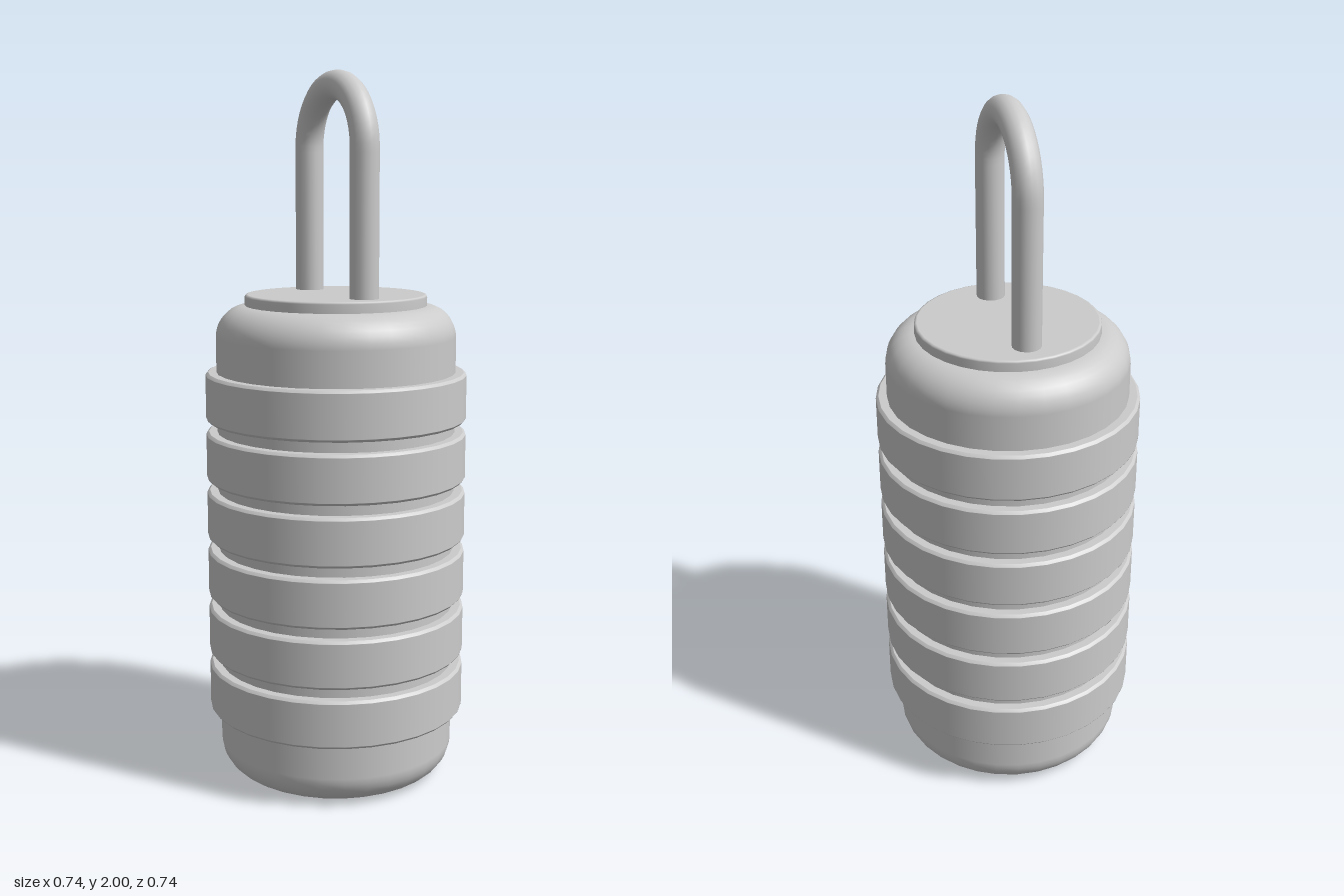
import * as THREE from 'three';

const SIDES = 32;
const grey = new THREE.MeshStandardMaterial({ color: 0xcccccc });

// Rounded solid of revolution; corners are rounded with r, with crisp flat ends and walls
function roundedDrum(radius, y0, y1, r, steps) {
  const group = new THREE.Group();
  const arc = (cy, from) => Array.from({ length: steps + 1 }, (_, i) => {
    const a = from + (i / steps) * Math.PI / 2;
    return new THREE.Vector2(radius - r + r * Math.cos(a), cy + r * Math.sin(a));
  });
  const profile = [
    new THREE.Vector2(0, y0), new THREE.Vector2(radius - r - 0.002, y0),
    ...arc(y0 + r, -Math.PI / 2), ...arc(y1 - r, 0),
    new THREE.Vector2(radius - r - 0.002, y1), new THREE.Vector2(0, y1),
  ];
  group.add(new THREE.Mesh(new THREE.LatheGeometry(profile, SIDES), grey));
  return group;
}

export function createModel() {
  const model = new THREE.Group();
  const add = (part, name) => {
    part.name = name;
    model.add(part);
  };

  // Main cylinder with soft shoulders and the low lid
  add(roundedDrum(0.338, 0, 1.36, 0.088, 8), 'body');
  add(roundedDrum(0.256, 1.33, 1.39, 0.006, 2), 'lid');

  // Six raised bands with small bevels
  const h = 0.137, bevel = 0.007, outer = 0.369, inner = 0.33;
  const bandProfile = [
    [inner, 0], [outer - bevel - 0.001, 0], [outer - bevel, 0], [outer, bevel],
    [outer, bevel + 0.001], [outer, h - bevel - 0.001], [outer, h - bevel],
    [outer - bevel, h], [outer - bevel - 0.001, h], [inner, h],
  ].map(([x, y]) => new THREE.Vector2(x, y));
  const bandGeometry = new THREE.LatheGeometry(bandProfile, SIDES);
  for (let i = 0; i < 6; i++) {
    const band = new THREE.Mesh(bandGeometry, grey);
    band.position.y = 0.188 + i * 0.1695;
    add(band, `band${i + 1}`);
  }

  // Upright loop handle: two straight legs joined by a half circle
  const R = 0.17, springY = 1.79, tube = 0.04;
  const path = new THREE.CurvePath();
  const arch = new THREE.Curve();
  arch.getPoint = (t, target = new THREE.Vector3()) =>
    target.set(0, springY + R * Math.sin(Math.PI * t), R * Math.cos(Math.PI * t));
  path.add(new THREE.LineCurve3(new THREE.Vector3(0, 1.37, R), new THREE.Vector3(0, springY, R)));
  path.add(arch);
  path.add(new THREE.LineCurve3(new THREE.Vector3(0, springY, -R), new THREE.Vector3(0, 1.37, -R)));
  add(new THREE.Mesh(new THREE.TubeGeometry(path, 64, tube, 16), grey), 'handle');

  return model;
}
